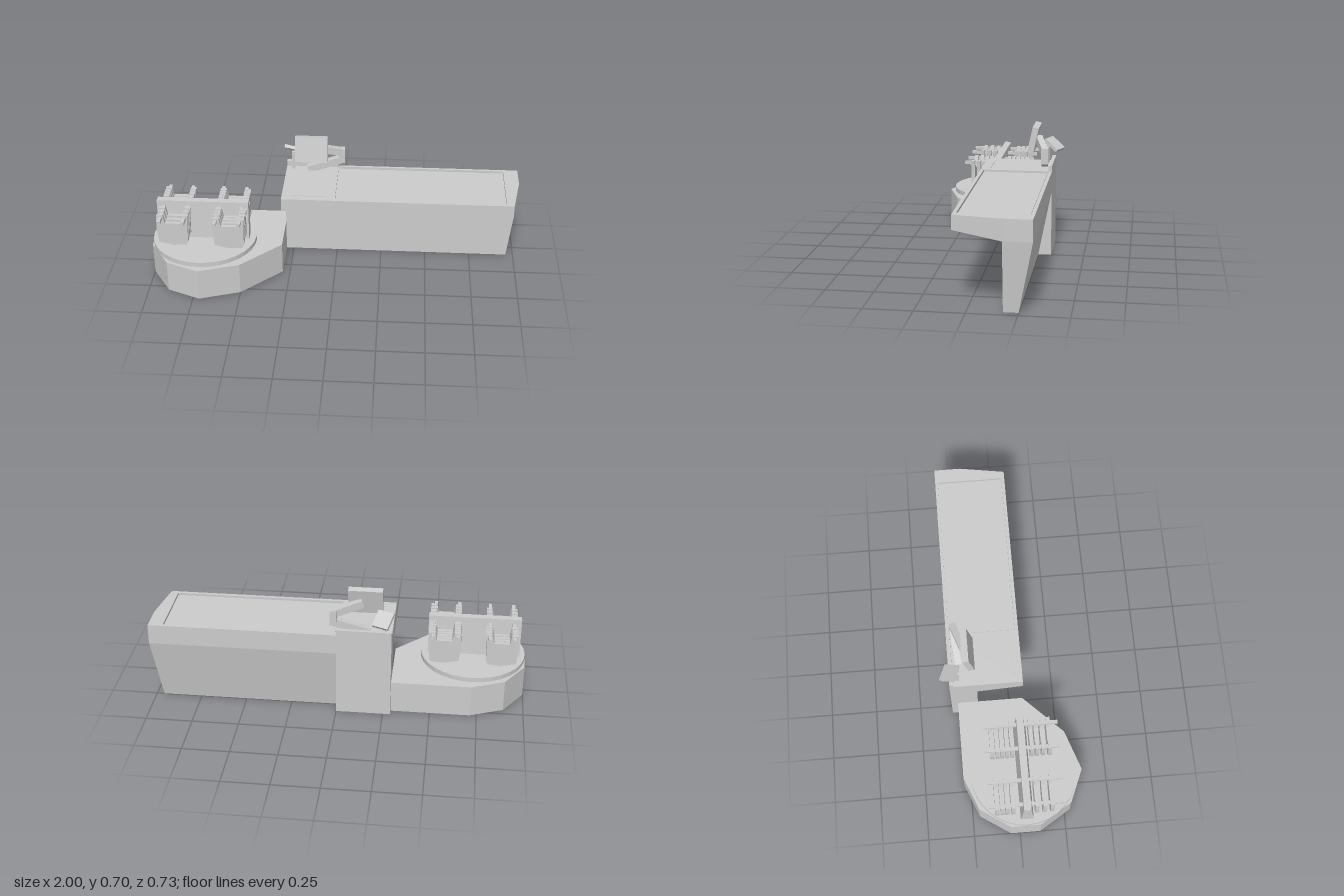
import * as THREE from 'three';

const grey = new THREE.MeshStandardMaterial({ color: 0xcccccc, flatShading: true });

function add(parent, name, geometry, x = 0, y = 0, z = 0) {
  const mesh = new THREE.Mesh(geometry, grey);
  mesh.name = name;
  mesh.position.set(x, y, z);
  parent.add(mesh);
  return mesh;
}

const box = (w, h, d) => new THREE.BoxGeometry(w, h, d);

// Upright prism from a plan outline of [x, z] points, with optional hole
function plan(points, y0, y1, hole) {
  const toVec = ([x, z]) => new THREE.Vector2(x, -z);
  const shape = new THREE.Shape(points.map(toVec));
  if (hole) shape.holes.push(new THREE.Path(hole.map(toVec)));
  const g = new THREE.ExtrudeGeometry(shape, { depth: y1 - y0, bevelEnabled: false });
  return g.rotateX(-Math.PI / 2).translate(0, y0, 0);
}

// Prism along x from a section of [z, y] points; endX(y, z) slants its far end
function section(points, startX, endX) {
  const shape = new THREE.Shape(points.map(([z, y]) => new THREE.Vector2(-z, y)));
  const g = new THREE.ExtrudeGeometry(shape, { depth: 1, bevelEnabled: false });
  g.rotateY(Math.PI / 2);
  const p = g.attributes.position;
  for (let i = 0; i < p.count; i++) {
    p.setX(i, p.getX(i) < 0.5 ? startX : endX(p.getY(i), p.getZ(i)));
  }
  g.computeVertexNormals();
  return g;
}

// Square-section bar between two points
function bar(parent, name, a, b, height, width) {
  const from = new THREE.Vector3(...a), to = new THREE.Vector3(...b);
  const mesh = add(parent, name, box(width, height, from.distanceTo(to)));
  mesh.position.copy(from).lerp(to, 0.5);
  mesh.lookAt(to);
  return mesh;
}

function makeCounter() {
  const counter = new THREE.Group();
  counter.name = 'counter';
  const left = -0.29, top = 0.457;

  // Leaning base, back spine and overhanging shelf
  add(counter, 'counterBase', section(
    [[-0.175, 0], [-0.175, 0.36], [-0.32, 0.36], [-0.25, 0]], left, (y) => 0.96 + 0.04 * y / 0.36));
  add(counter, 'counterSpine', section(
    [[-0.175, 0.36], [-0.175, top], [-0.32, top], [-0.32, 0.36]], left, () => 1));
  add(counter, 'counterShelf', section(
    [[0.07, 0.395], [0.07, top], [-0.175, top], [-0.175, 0.36]], left,
    (y, z) => 1 - 0.04 * (z + 0.175) / 0.245));

  // Straight block under the till
  add(counter, 'tillBlock', box(0.29, 0.36, 0.145), -0.145, 0.18, -0.2475);

  // Top with the sunken belt opening
  add(counter, 'counterTop', plan(
    [[left, 0.07], [0.96, 0.07], [1, -0.175], [1, -0.32], [left, -0.32]], top, 0.47,
    [[0, 0.052], [0, -0.305], [0.92, -0.305], [0.92, 0.052]]));
  add(counter, 'belt', box(0.9, 0.006, 0.34), 0.46, 0.458, -0.1265);

  // Till details
  add(counter, 'tillLip', box(0.19, 0.004, 0.012), -0.145, 0.471, 0.025);
  add(counter, 'tillBackRail', box(0.29, 0.03, 0.02), -0.145, 0.485, -0.31);
  return counter;
}

function makeTill() {
  const till = new THREE.Group();
  till.name = 'till';

  // Screen on a folded arm
  bar(till, 'lowerArm', [-0.17, 0.475, -0.265], [0.02, 0.535, -0.282], 0.04, 0.035);
  add(till, 'armJoint', box(0.036, 0.085, 0.036), 0.018, 0.558, -0.282);
  bar(till, 'upperArm', [0.02, 0.58, -0.282], [-0.13, 0.625, -0.235], 0.04, 0.035);
  const screen = add(till, 'screen', box(0.18, 0.143, 0.034), -0.145, 0.628, -0.21);
  screen.rotation.x = -0.21;

  // Card reader on a post, tilted towards the back
  add(till, 'readerPost', box(0.018, 0.11, 0.018), -0.25, 0.52, -0.275);
  const reader = add(till, 'cardReader', box(0.09, 0.018, 0.095), -0.245, 0.572, -0.312);
  reader.rotation.set(-0.64, -0.4, 0, 'YXZ');
  return till;
}

function makeCarousel() {
  const carousel = new THREE.Group();
  carousel.name = 'bagCarousel';
  const cx = -0.716, cz = 0.04;

  add(carousel, 'carouselBase', plan([
    [-0.29, -0.285], [-0.716, -0.285], [-0.893, -0.212], [-1, -0.05], [-1, 0.11],
    [-0.893, 0.282], [-0.716, 0.356], [-0.5, 0.282], [-0.29, 0.07]], 0, 0.178));
  add(carousel, 'hub', new THREE.CylinderGeometry(0.1, 0.1, 0.02, 24), cx, 0.18, cz);
  add(carousel, 'turntable', new THREE.CylinderGeometry(0.284, 0.284, 0.026, 32), cx, 0.198, cz);

  // Upright panel, thinner at the top
  add(carousel, 'rackPanel', section(
    [[0.072, 0.21], [0.056, 0.43], [0.018, 0.43], [0.003, 0.21]], -0.97, () => -0.47));

  // Hanging rods
  for (const x of [-0.93, -0.802, -0.632, -0.503]) {
    add(carousel, 'rod', box(0.018, 0.018, 0.395), x, 0.395, 0.0375);
  }

  // Carrier bags with two handles
  const outline = [
    [-0.083, 0.41], [-0.088, 0.33], [-0.079, 0.243], [0, 0.226], [0.07, 0.232], [0.08, 0.25],
    [0.081, 0.35], [0.086, 0.41], [0.055, 0.41], [0.042, 0.362], [-0.04, 0.362], [-0.05, 0.41]];
  const bag = new THREE.ExtrudeGeometry(
    new THREE.Shape(outline.map(([x, y]) => new THREE.Vector2(x, y))),
    { depth: 0.021, bevelEnabled: false }).translate(0, 0, -0.0105);
  const stacks = [
    [-0.867, [0.09, 0.13, 0.17, -0.035, -0.065, -0.092, -0.12]],
    [-0.562, [0.09, 0.118, 0.15, 0.185, -0.014, -0.041, -0.068, -0.094, -0.12]]];
  for (const [x, depths] of stacks) {
    for (const z of depths) add(carousel, 'carrierBag', bag, x, 0, z);
  }
  return carousel;
}

export function createModel() {
  const model = new THREE.Group();
  model.name = 'checkoutCounter';
  model.add(makeCounter(), makeTill(), makeCarousel());
  return model;
}
